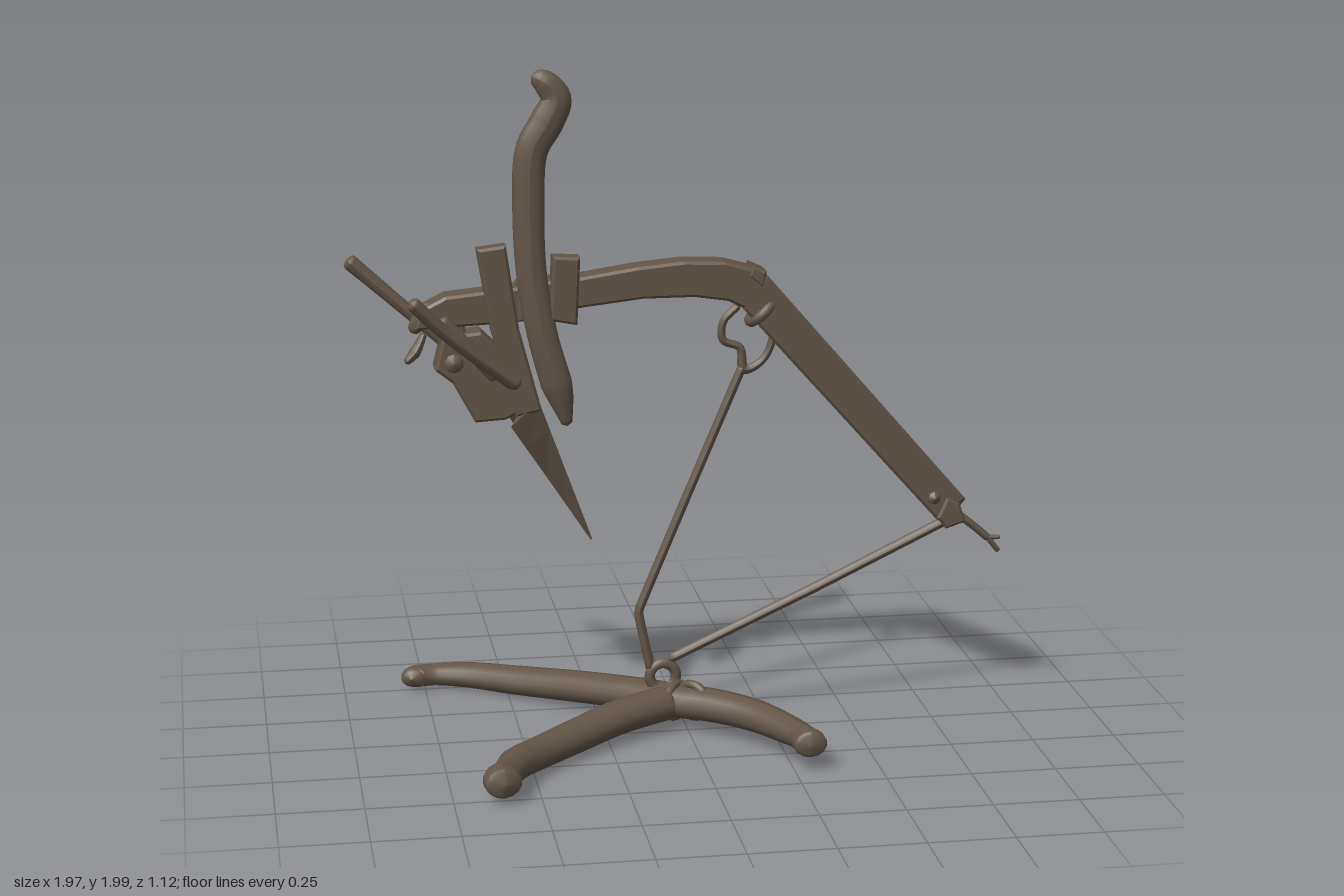
import * as THREE from 'three';

const wood = new THREE.MeshStandardMaterial({ color: 0x635548, side: THREE.DoubleSide });
wood.name = 'agedWood';

export function createModel() {
  const root = new THREE.Group();
  root.name = 'plough';

  const add = (name, geometry) => {
    const mesh = new THREE.Mesh(geometry, wood);
    mesh.name = name;
    root.add(mesh);
    return mesh;
  };

  // Round limb through [x, y, z, radius] points, with rounded ends and optional squash per axis
  const limb = (name, pts, { squash = [1, 1, 1], segs = 70, sides = 14, straight = false, blunt = 0.7 } = {}) => {
    const v = pts.map(p => new THREE.Vector3(p[0], p[1], p[2]));
    const curve = straight ? new THREE.CatmullRomCurve3(v, false, 'catmullrom', 0.05)
      : new THREE.CatmullRomCurve3(v);
    const geo = new THREE.TubeGeometry(curve, segs, 1, sides, false);
    const pos = geo.attributes.position, len = curve.getLength(), c = new THREE.Vector3();
    for (let i = 0; i <= segs; i++) {
      const u = i / segs;
      curve.getPointAt(u, c);
      const k = curve.getUtoTmapping(u) * (pts.length - 1);
      const a = Math.min(Math.floor(k), pts.length - 2);
      const r = THREE.MathUtils.lerp(pts[a][3], pts[a + 1][3], k - a);
      const cap = Math.max(0, 1 - Math.min(u, 1 - u) * len / (r * blunt));
      const s = r * Math.sqrt(1 - cap * cap);
      for (let j = 0; j <= sides; j++) {
        const n = i * (sides + 1) + j;
        pos.setXYZ(n, c.x + (pos.getX(n) - c.x) * s * squash[0],
          c.y + (pos.getY(n) - c.y) * s * squash[1],
          c.z + (pos.getZ(n) - c.z) * s * squash[2]);
      }
    }
    geo.computeVertexNormals();
    return add(name, geo);
  };

  // Side outline extruded between two depths with a small chamfer
  const slab = (name, outline, z0, z1, bevel = 0.008) => {
    const shape = new THREE.Shape(outline.map(p => new THREE.Vector2(p[0], p[1])));
    const geo = new THREE.ExtrudeGeometry(shape, {
      depth: z1 - z0 - 2 * bevel, bevelEnabled: true, bevelThickness: bevel,
      bevelSize: bevel, bevelOffset: -bevel, bevelSegments: 1,
    });
    geo.translate(0, 0, z0 + bevel);
    return add(name, geo);
  };

  // Yoke-like base: three curved horns with flared tips meeting in a hub
  limb('baseHornBack', [[-0.795, 0.048, -0.47, 0.034], [-0.78, 0.047, -0.505, 0.042], [-0.72, 0.045, -0.522, 0.041],
    [-0.62, 0.046, -0.5, 0.048], [-0.47, 0.05, -0.41, 0.055], [-0.30, 0.065, -0.28, 0.059],
    [-0.15, 0.08, -0.15, 0.06], [-0.02, 0.09, -0.03, 0.06]], { squash: [1.03, 0.8, 1.03], segs: 100 });
  limb('baseHornFront', [[-0.606, 0.07, 0.553, 0.05], [-0.612, 0.069, 0.50, 0.054], [-0.585, 0.066, 0.43, 0.046],
    [-0.55, 0.06, 0.345, 0.054], [-0.48, 0.055, 0.26, 0.054], [-0.36, 0.06, 0.15, 0.057],
    [-0.22, 0.075, 0.05, 0.059], [-0.05, 0.085, -0.04, 0.06]], { squash: [1.03, 0.85, 1.03], segs: 100, blunt: 0.4 });
  limb('baseHornSide', [[0.295, 0.087, 0.42, 0.046], [0.294, 0.087, 0.385, 0.048], [0.283, 0.086, 0.33, 0.043],
    [0.255, 0.085, 0.26, 0.049], [0.18, 0.088, 0.135, 0.055], [0.07, 0.09, 0.03, 0.058],
    [-0.06, 0.085, -0.06, 0.059]], { squash: [1.03, 0.85, 1.03], segs: 100, blunt: 0.4 });

  // Rings and lashing on the hub
  const ring = (name, r, tube, p, rot = [0, 0, 0]) => {
    const m = add(name, new THREE.TorusGeometry(r, tube, 8, 24));
    m.position.set(...p);
    m.rotation.set(...rot);
  };
  ring('hubRing', 0.04, 0.016, [-0.065, 0.155, -0.075]);
  ring('hubLashing', 0.05, 0.014, [-0.03, 0.088, -0.04], [0, 0.8, 0]);
  ring('hubLashing', 0.05, 0.014, [0.015, 0.095, -0.01], [0, -0.8, 0]);

  // Ropes from the hub to the beam
  limb('shortRope', [[-0.1, 0.17, -0.075, 0.014], [-0.137, 0.36, -0.085, 0.014], [0.02, 0.73, -0.095, 0.014],
    [0.185, 1.11, -0.105, 0.014]], { straight: true, sides: 8 });
  limb('longRope', [[-0.05, 0.205, -0.075, 0.015], [0.4, 0.405, -0.09, 0.016], [0.82, 0.6, -0.105, 0.016]],
    { straight: true, sides: 8 });
  limb('ropeLoop', [[0.17, 1.285, -0.105, 0.012], [0.122, 1.235, -0.105, 0.012], [0.122, 1.18, -0.105, 0.012],
    [0.172, 1.155, -0.105, 0.012], [0.185, 1.09, -0.105, 0.016], [0.235, 1.11, -0.105, 0.012],
    [0.268, 1.17, -0.105, 0.012], [0.265, 1.26, -0.105, 0.012]], { sides: 8 });

  // Bent beam: bowed upper length and straight lower length
  slab('upperBeam', [[-0.79, 1.25], [-0.66, 1.255], [-0.5, 1.262], [-0.3, 1.30], [-0.12, 1.32], [0.03, 1.32], [0.13, 1.305],
    [0.2, 1.27], [0.26, 1.34], [0.2, 1.4], [0.12, 1.422], [0, 1.427], [-0.14, 1.414], [-0.3, 1.39], [-0.5, 1.365],
    [-0.7, 1.345], [-0.77, 1.31]], -0.155, -0.062);
  slab('lowerBeam', [[0.175, 1.28], [0.21, 1.40], [0.25, 1.375], [0.86, 0.67], [0.775, 0.605]], -0.148, -0.062);
  slab('bendCap', [[0.19, 1.375], [0.20, 1.41], [0.245, 1.39], [0.235, 1.34]], -0.155, -0.058);
  ring('bendCollar', 0.046, 0.016, [0.235, 1.265, -0.105], [1.57, 0.75, 0]);

  // Fittings and frayed cord at the lower end
  slab('endPlate', [[0.7, 0.735], [0.72, 0.745], [0.865, 0.665], [0.84, 0.635]], -0.13, -0.08, 0.006);
  slab('endBlock', [[0.77, 0.615], [0.80, 0.58], [0.86, 0.60], [0.84, 0.66], [0.8, 0.68]], -0.155, -0.055);
  limb('endPeg', [[0.76, 0.68, -0.165, 0.02], [0.76, 0.68, -0.04, 0.02]], { segs: 16, sides: 8 });
  limb('endCord', [[0.83, 0.625, -0.105, 0.013], [0.9, 0.57, -0.105, 0.012], [0.945, 0.53, -0.105, 0.012]], { sides: 8 });
  limb('cordStrand', [[0.94, 0.535, -0.105, 0.01], [0.98, 0.535, -0.1, 0.006]], { segs: 12, sides: 6 });
  limb('cordStrand', [[0.94, 0.535, -0.105, 0.01], [0.977, 0.488, -0.105, 0.009]], { segs: 12, sides: 6 });

  // Tall curved handle crossing the beam
  limb('handle', [[-0.445, 1.982, -0.062, 0.02], [-0.405, 1.962, -0.062, 0.038], [-0.373, 1.915, -0.062, 0.045],
    [-0.40, 1.85, -0.062, 0.05], [-0.445, 1.77, -0.06, 0.048], [-0.457, 1.62, -0.058, 0.047],
    [-0.45, 1.4, -0.052, 0.045], [-0.42, 1.22, -0.045, 0.045], [-0.382, 1.08, -0.045, 0.047],
    [-0.368, 1.03, -0.047, 0.037], [-0.35, 0.95, -0.05, 0.014]], { squash: [1, 1, 0.68], segs: 110 });

  // Clamp beside the beam, with a band round it, and the wedge plank
  slab('clampBlock', [[-0.40, 1.27], [-0.32, 1.255], [-0.31, 1.455], [-0.39, 1.46]], -0.095, -0.03);
  slab('clampBand', [[-0.49, 1.265], [-0.32, 1.28], [-0.32, 1.392], [-0.49, 1.372]], -0.165, -0.055);
  slab('wedgePlank', [[-0.61, 1.485], [-0.525, 1.495], [-0.49, 1.25], [-0.425, 1.0], [-0.5, 0.985], [-0.57, 1.24]],
    -0.1, -0.04);

  // Sole block holding the share
  slab('soleBlock', [[-0.71, 1.23], [-0.735, 1.13], [-0.685, 1.09], [-0.62, 0.97], [-0.53, 0.975], [-0.44, 1.02],
    [-0.49, 1.13], [-0.6, 1.24]], -0.15, -0.05);
  slab('solePost', [[-0.76, 1.31], [-0.70, 1.15], [-0.62, 1.16], [-0.66, 1.31]], -0.14, -0.075);
  limb('beamTail', [[-0.72, 1.31, -0.105, 0.035], [-0.77, 1.27, -0.105, 0.03], [-0.80, 1.235, -0.105, 0.014]],
    { segs: 24 });
  limb('tailPeg', [[-0.76, 1.235, -0.1, 0.01], [-0.79, 1.18, -0.085, 0.018], [-0.82, 1.15, -0.075, 0.01]],
    { segs: 20, sides: 7 });
  limb('crossPin', [[-0.68, 1.15, -0.165, 0.03], [-0.68, 1.15, -0.035, 0.03]], { segs: 24, sides: 10 });

  // Grip rods on both sides
  limb('backRod', [[-0.978, 1.445, -0.172, 0.024], [-0.9, 1.375, -0.168, 0.022], [-0.66, 1.16, -0.145, 0.018]],
    { sides: 10 });
  limb('frontRod', [[-0.81, 1.355, 0.028, 0.022], [-0.7, 1.245, -0.005, 0.021], [-0.49, 1.075, -0.058, 0.026]],
    { sides: 10 });
  limb('shortRod', [[-0.72, 1.285, -0.05, 0.02], [-0.55, 1.10, -0.055, 0.024]], { segs: 30, sides: 10 });

  // Share: winged, ridged blade narrowing to a point; [t along blade, half width]
  const sections = [[0, 0.13], [0.2, 0.1], [0.45, 0.06], [0.7, 0.031], [0.88, 0.017], [1, 0.003]];
  const pos = [], idx = [];
  sections.forEach(([t, w], i) => {
    const ridgeX = THREE.MathUtils.lerp(-0.43, -0.272, t), ridgeY = THREE.MathUtils.lerp(1.02, 0.585, t);
    const backX = THREE.MathUtils.lerp(-0.525, -0.278, t), backY = THREE.MathUtils.lerp(0.975, 0.585, t);
    const z = THREE.MathUtils.lerp(-0.095, -0.105, t);
    pos.push(ridgeX, ridgeY, z, backX, backY, z - w, backX + 0.03 * (1 - t), backY, z, backX, backY, z + w);
    if (i) for (let j = 0; j < 4; j++) {
      const a = (i - 1) * 4 + j, b = (i - 1) * 4 + (j + 1) % 4;
      idx.push(a, b, a + 4, b, b + 4, a + 4);
    }
  });
  idx.push(0, 2, 1, 0, 3, 2);
  const indexed = new THREE.BufferGeometry();
  indexed.setAttribute('position', new THREE.Float32BufferAttribute(pos, 3));
  indexed.setIndex(idx);
  const share = indexed.toNonIndexed();
  share.computeVertexNormals();
  add('share', share);

  return root;
}
